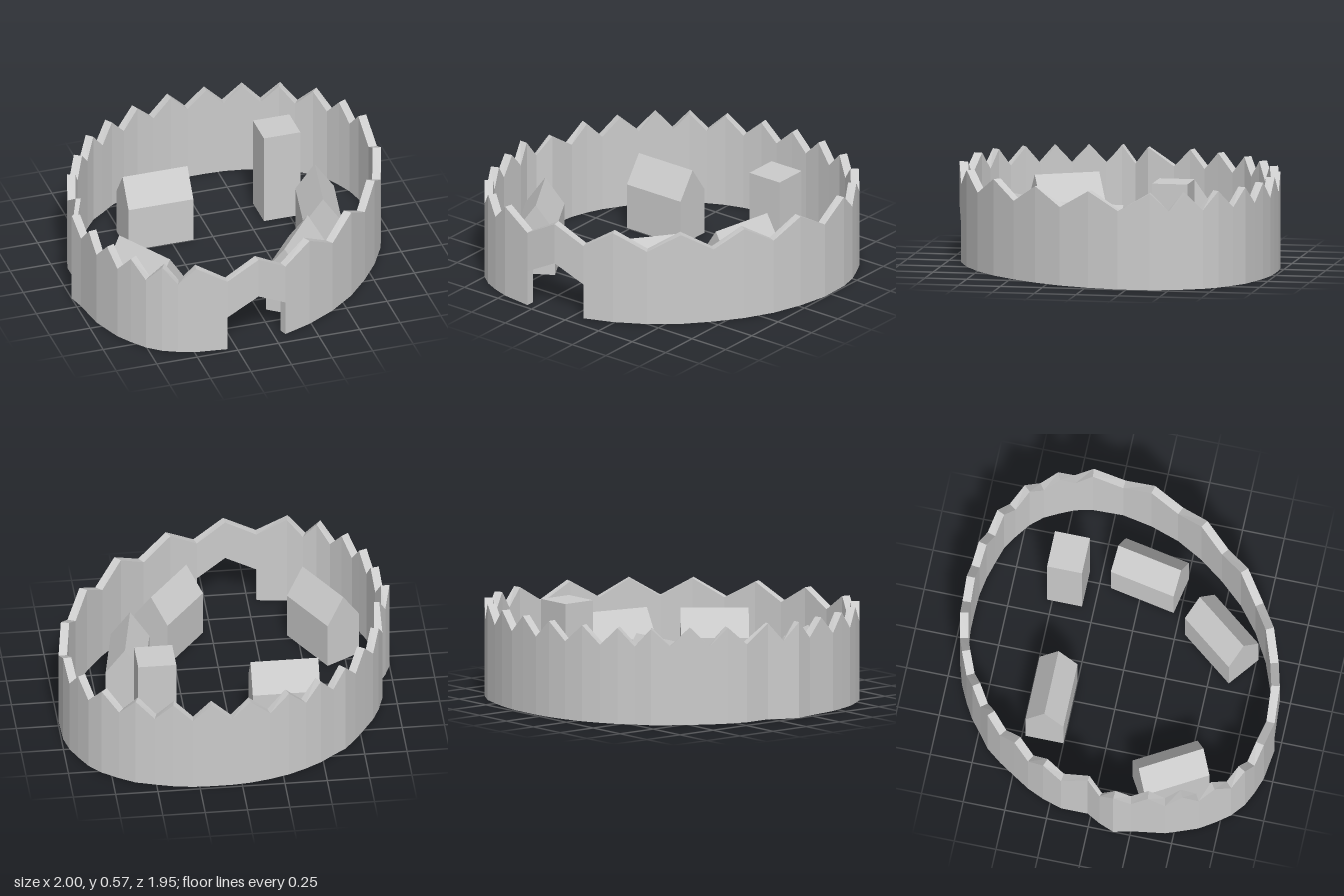
import * as THREE from 'three';

const material = new THREE.MeshStandardMaterial({ color: 0xcccccc, flatShading: true });

// Outer outline of the wall as [x, z], anticlockwise from above; peaks and valleys alternate
const outline = [
  [-0.49, 0.945], [-0.305, 0.97], [-0.11, 0.96], [0.07, 0.915], [0.24, 0.85], [0.415, 0.75],
  [0.57, 0.625], [0.7, 0.48], [0.81, 0.33], [0.9, 0.165], [0.96, -0.015], [0.995, -0.2],
  [0.99, -0.39], [0.965, -0.5], [0.925, -0.59], [0.875, -0.685], [0.805, -0.765], [0.71, -0.835],
  [0.62, -0.89], [0.51, -0.925], [0.405, -0.955], [0.29, -0.975], [0.18, -0.98], [0.06, -0.98],
  [-0.05, -0.97], [-0.17, -0.945], [-0.285, -0.91], [-0.39, -0.86], [-0.485, -0.805], [-0.565, -0.74],
  [-0.645, -0.68], [-0.715, -0.59], [-0.78, -0.49], [-0.84, -0.395], [-0.885, -0.295], [-0.92, -0.18],
  [-0.92, -0.02], [-0.965, 0.06], [-1, 0.15], [-0.975, 0.25], [-0.96, 0.35], [-0.945, 0.45],
  [-0.91, 0.545], [-0.875, 0.635], [-0.82, 0.72], [-0.755, 0.805], [-0.675, 0.87], [-0.59, 0.91],
];
const PEAK = 0.572, VALLEY = 0.465, THICKNESS = 0.05;
const GATE_EAVE = 0.218, GATE_TOP = 0.32;
const pinch = { 36: 0.03, 37: 0.025 }; // thinner wall where the outline folds in

function createWall() {
  const n = outline.length;
  const inner = outline.map(([x, z], i) => {
    const [ax, az] = outline[(i + n - 1) % n], [bx, bz] = outline[(i + 1) % n];
    const d = (pinch[i] ?? THICKNESS) / Math.hypot(bx - ax, bz - az);
    return [x + (bz - az) * d, z - (bx - ax) * d];
  });
  const out = (i, y) => [outline[i][0], y, outline[i][1]];
  const inn = (i, y) => [inner[i][0], y, inner[i][1]];
  const positions = [];
  const quad = (a, b, c, d) => positions.push(...a, ...b, ...c, ...a, ...c, ...d);
  const top = (i) => (i % 2 ? VALLEY : PEAK);

  for (let i = 0; i < n; i++) {
    const j = (i + 1) % n;
    // The two segments around point 2 are cut open by the gate
    const [lo, hi] = i === 1 ? [GATE_EAVE, GATE_TOP] : i === 2 ? [GATE_TOP, GATE_EAVE] : [0, 0];
    const ti = top(i), tj = top(j);
    quad(out(i, lo), out(j, hi), out(j, tj), out(i, ti));
    quad(inn(j, hi), inn(i, lo), inn(i, ti), inn(j, tj));
    quad(out(i, ti), out(j, tj), inn(j, tj), inn(i, ti));
    quad(inn(i, lo), inn(j, hi), out(j, hi), out(i, lo));
  }
  // Gate jambs
  quad(out(1, 0), inn(1, 0), inn(1, GATE_EAVE), out(1, GATE_EAVE));
  quad(inn(3, 0), out(3, 0), out(3, GATE_EAVE), inn(3, GATE_EAVE));

  const geometry = new THREE.BufferGeometry();
  geometry.setAttribute('position', new THREE.Float32BufferAttribute(positions, 3));
  geometry.computeVertexNormals();
  const wall = new THREE.Mesh(geometry, material);
  wall.name = 'palisadeWall';
  return wall;
}

// Gabled house: pentagon section extruded along its ridge
function createHouseGeometry(width = 0.228, length = 0.4, eave = 0.28, ridge = 0.442) {
  const w = width / 2;
  const section = new THREE.Shape([[-w, 0], [w, 0], [w, eave], [0, ridge], [-w, eave]]
    .map(([x, y]) => new THREE.Vector2(x, y)));
  return new THREE.ExtrudeGeometry(section, { depth: length, bevelEnabled: false })
    .translate(0, 0, -length / 2);
}

export function createModel() {
  const model = new THREE.Group();
  model.name = 'walledVillage';
  model.add(createWall());

  // Houses: centre x, centre z, ridge direction x, z
  const houseGeometry = createHouseGeometry();
  const houses = [
    ['backHouse', -0.32, -0.365, 1, 0],
    ['leftHouse', 0.56, 0.037, -0.075, 0.39],
    ['frontHouse', 0.26, 0.532, 0.245, -0.315],
    ['rightHouse', -0.638, 0.42, 0.2, 0.345],
  ];
  for (const [name, x, z, dx, dz] of houses) {
    const house = new THREE.Mesh(houseGeometry, material);
    house.name = name;
    house.position.set(x, 0, z);
    house.rotation.y = Math.atan2(dx, dz);
    model.add(house);
  }

  // Flat-topped tower
  const tower = new THREE.Mesh(new THREE.BoxGeometry(0.225, 0.57, 0.21), material);
  tower.name = 'tower';
  tower.position.set(0.45, 0.285, -0.427);
  model.add(tower);

  return model;
}
